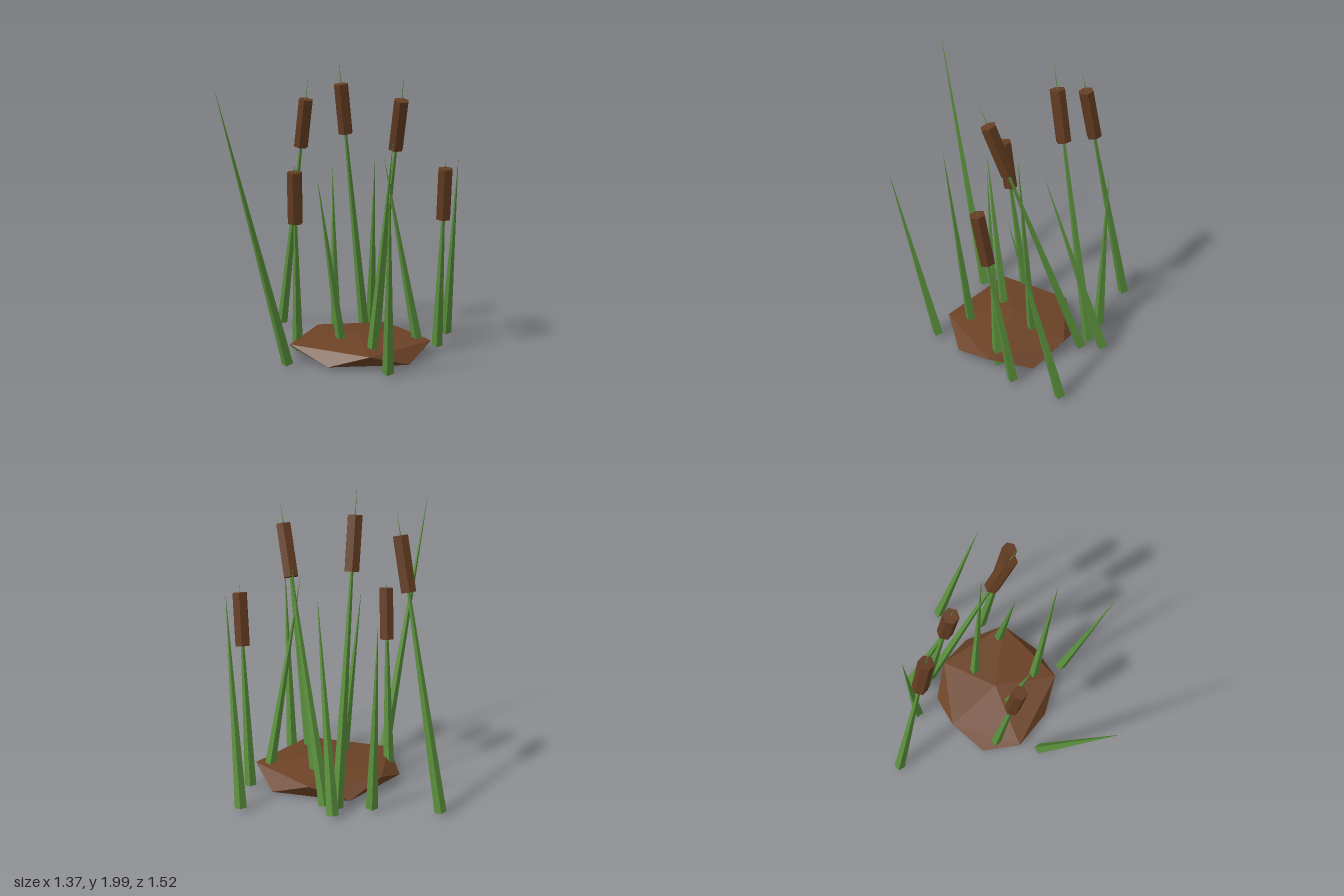
import * as THREE from 'three';

const mat = (name, color) => {
  const m = new THREE.MeshStandardMaterial({ color, flatShading: true });
  m.name = name;
  return m;
};

export function createModel() {
  const group = new THREE.Group();
  const soil = mat('soil brown', 0x6b4226);
  const headBrown = mat('seed head brown', 0x633c22);
  const green = mat('reed green', 0x5a8f3c);
  const up = new THREE.Vector3(0, 1, 0);

  // Mound: squashed icosahedron, rim alternating high and low points
  const rim = [
    [-0.44, -0.10], [-0.38, 0.165], [-0.09, 0.315], [0.19, 0.35], [0.42, 0.17],
    [0.535, -0.10], [0.41, -0.37], [0.17, -0.50], [-0.09, -0.51], [-0.30, -0.35],
  ].map(([x, z], i) => [x, i % 2 ? 0.105 : 0.012, z]);
  const top = [0.03, 0.152, -0.08];
  const bottom = [0.04, 0, -0.09];
  const tris = [];
  for (let i = 0; i < 10; i++) {
    const a = rim[i], b = rim[(i + 1) % 10], c = rim[(i + 2) % 10];
    if (i % 2) tris.push(a, b, c, a, c, top);
    else tris.push(c, b, a, c, a, bottom);
  }
  const moundGeo = new THREE.BufferGeometry();
  moundGeo.setAttribute('position', new THREE.Float32BufferAttribute(tris.flat(), 3));
  moundGeo.computeVertexNormals();
  const mound = new THREE.Mesh(moundGeo, soil);
  mound.name = 'mound';
  group.add(mound);

  // Four-sided tapering blade from a base point to a tip
  function blade(name, bx, bz, tx, ty, tz) {
    const base = new THREE.Vector3(bx, 0.02, bz);
    const dir = new THREE.Vector3(tx, ty, tz).sub(base);
    const length = dir.length();
    const reed = new THREE.Group();
    reed.name = name;
    reed.position.copy(base);
    reed.quaternion.setFromUnitVectors(up, dir.normalize());
    const stem = new THREE.Mesh(new THREE.ConeGeometry(0.038, length, 4), green);
    stem.name = name + 'Stem';
    stem.position.y = length / 2;
    reed.add(stem);
    group.add(reed);
    return { reed, length };
  }

  // Plain blades: base x, base z, tip x, tip y, tip z
  [
    [-0.36, 0.31, -0.675, 1.82, 0.75],
    [-0.225, -0.63, -0.25, 1.21, -0.63],
    [0.02, -0.73, 0.113, 1.31, -0.315],
    [0.595, -0.62, 0.685, 1.33, -0.29],
    [0.31, 0.38, 0.355, 1.29, 0.66],
    [-0.05, 0.02, -0.18, 1.23, 0.20],
    [0.17, 0.18, 0.32, 1.48, 0.285],
    [0.45, -0.13, 0.225, 1.36, 0.03],
    [0.125, -0.26, 0.275, 1.50, -0.195],
  ].forEach((b) => blade('leafBlade', ...b));

  // Reeds carrying a hexagonal seed head near the tip
  [
    [-0.65, -0.69, -0.367, 1.86, -0.38],
    [-0.01, -0.62, -0.132, 1.99, -0.27],
    [0.07, -0.59, 0.355, 1.88, 0.03],
    [-0.37, -0.02, -0.343, 1.31, 0.15],
    [0.56, -0.28, 0.62, 1.335, -0.06],
  ].forEach((b) => {
    const { reed, length } = blade('cattail', ...b);
    const head = new THREE.Mesh(new THREE.CylinderGeometry(0.051, 0.051, 0.345, 6), headBrown);
    head.name = 'seedHead';
    head.position.y = length * 0.825;
    reed.add(head);
  });

  return group;
}
